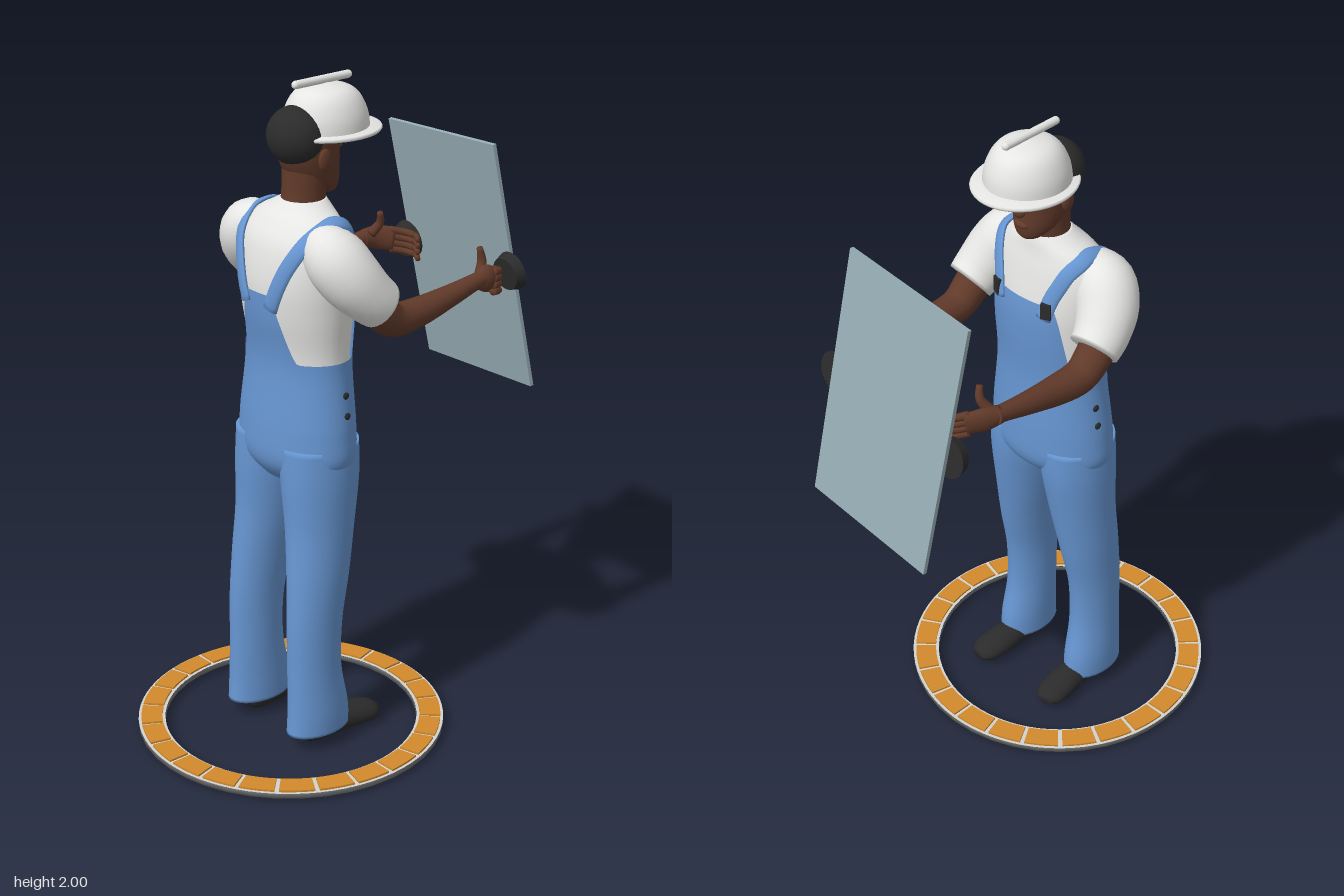
import * as THREE from 'three';

const mat = (name, color) => Object.assign(new THREE.MeshStandardMaterial({ color }), { name });
const V = (x, y, z) => new THREE.Vector3(x, y, z);

// Skin a closed tube through rings of points; ends are closed to their centres
function loft(rings, caps = true) {
  const n = rings[0].length;
  if (caps) {
    const collapse = r => {
      const c = r.reduce((a, p) => a.add(p), V(0, 0, 0)).divideScalar(n);
      return r.map(() => c);
    };
    rings = [collapse(rings[0]), ...rings, collapse(rings[rings.length - 1])];
  }
  const idx = [];
  for (let i = 0; i < rings.length - 1; i++) for (let j = 0; j < n; j++) {
    const a = i * n + j, b = i * n + (j + 1) % n;
    idx.push(a, a + n, b, b, a + n, b + n);
  }
  const g = new THREE.BufferGeometry().setFromPoints(rings.flat());
  g.setIndex(idx);
  g.computeVertexNormals();
  return g;
}

// Smoothly resample rows of numbers
function smooth(rows, steps = 5) {
  const out = [], at = i => rows[Math.max(0, Math.min(rows.length - 1, i))];
  for (let i = 0; i < rows.length - 1; i++) for (let s = 0; s < steps; s++) {
    const t = s / steps;
    out.push(at(i).map((b, k) => {
      const a = at(i - 1)[k], c = at(i + 1)[k], d = at(i + 2)[k];
      return b + 0.5 * t * (c - a + t * (2 * a - 5 * b + 4 * c - d + t * (3 * (b - c) + d - a)));
    }));
  }
  out.push(rows[rows.length - 1]);
  return out;
}

// Upright form from rows of [y, centre x, centre z, radius x, radius z]
const upright = (rows, n = 28) => loft(smooth(rows).map(([y, cx, cz, rx, rz]) =>
  Array.from({ length: n }, (_, j) => {
    const a = j / n * Math.PI * 2;
    return V(cx + rx * Math.cos(a), y, cz + rz * Math.sin(a));
  })));

// Limb along a path from rows of [x, y, z, radius, optional side radius]
function limb(rows, s = 1, n = 16) {
  const pts = smooth(rows.map(r => [r[0], r[1], r[2] * s, r[3], r[4] ?? r[3]]), 4);
  const pos = pts.map(p => V(p[0], p[1], p[2]));
  return loft(pts.map((p, i) => {
    const T = pos[Math.min(i + 1, pos.length - 1)].clone().sub(pos[Math.max(i - 1, 0)]).normalize();
    const u = V(0, 0, 1).cross(T).normalize(), v = u.clone().cross(T);
    return Array.from({ length: n }, (_, j) => {
      const a = j / n * Math.PI * 2;
      return pos[i].clone().addScaledVector(u, p[3] * Math.cos(a)).addScaledVector(v, p[4] * Math.sin(a));
    });
  }));
}

// Torso rows and a lookup of any point on its surface
const TORSO = [[0.84, -0.125, 0, 0.08, 0.11], [0.9, -0.122, 0, 0.125, 0.195], [1.0, -0.12, 0, 0.13, 0.2],
  [1.2, -0.115, 0, 0.12, 0.178], [1.35, -0.12, 0, 0.135, 0.19], [1.45, -0.122, 0, 0.137, 0.2],
  [1.55, -0.122, 0, 0.118, 0.2], [1.61, -0.112, 0, 0.093, 0.16], [1.645, -0.1, 0, 0.075, 0.1], [1.665, -0.095, 0, 0.064, 0.066]];
const DENSE = smooth(TORSO, 8);
function onTorso(a, y, off = 0) {
  let i = 0;
  while (i < DENSE.length - 2 && DENSE[i + 1][0] < y) i++;
  const A = DENSE[i], B = DENSE[i + 1], t = (y - A[0]) / (B[0] - A[0]);
  const r = A.map((v, k) => v + (B[k] - v) * t);
  return V(r[1] + (r[3] + off) * Math.cos(a), y, (r[4] + off) * Math.sin(a));
}

export function createModel() {
  const white = mat('white cloth and helmet', 0xe6e6e4), blue = mat('denim blue', 0x6796d2),
    skin = mat('skin', 0x613a2a), dark = mat('black', 0x2b2b2b), glass = mat('glass panel', 0x97adb5),
    orange = mat('orange', 0xd28a2c), grey = mat('ring underside', 0x7c7c7c), light = mat('ring edge', 0xd2d2ce);
  blue.side = THREE.DoubleSide;
  const model = new THREE.Group();
  const add = (name, geo, m, parent = model) => {
    const mesh = new THREE.Mesh(geo, m);
    mesh.name = name;
    parent.add(mesh);
    return mesh;
  };
  const ball = (name, m, [x, y, z], [rx, ry, rz]) =>
    add(name, new THREE.SphereGeometry(1, 24, 16).scale(rx, ry, rz).translate(x, y, z), m);

  // Shirt body, and overalls whose upper edge dips under the arms
  add('shirt', upright(TORSO.slice(2)), white);
  const rings = [], n = 96, step = THREE.MathUtils.smoothstep;
  for (let i = 0; i <= 32; i++) rings.push(Array.from({ length: n }, (_, j) => {
    const a = j / n * Math.PI * 2, d = a > Math.PI ? Math.PI * 2 - a : a;
    const top = 1.22 + 0.26 * (1 - step(d, 0.5, 1.05)) + 0.2 * step(d, 2.45, 2.95);
    return onTorso(a, 0.84 + (top - 0.84) * i / 32, 0.007);
  }));
  add('overalls', loft(rings, false), blue);

  for (const s of [1, -1]) {
    const side = s > 0 ? 'left' : 'right';
    // Strap laid over the shoulder
    const path = smooth([[0.42, 1.44], [0.55, 1.53], [0.85, 1.595], [1.57, 1.625], [2.25, 1.595], [2.6, 1.52], [2.88, 1.38]], 6);
    const mid = path.map(([a, y]) => onTorso(a * s, y, 0.008));
    add(side + 'Strap', loft(mid.map((p, i) => {
      const [a, y] = path[i];
      const T = mid[Math.min(i + 1, mid.length - 1)].clone().sub(mid[Math.max(i - 1, 0)]).normalize();
      const N = onTorso(a * s, y + 0.005).sub(onTorso(a * s, y - 0.005))
        .cross(onTorso(a * s + 0.01, y).sub(onTorso(a * s - 0.01, y))).normalize();
      const W = N.clone().cross(T).normalize();
      return Array.from({ length: 10 }, (_, j) => {
        const q = j / 10 * Math.PI * 2;
        return p.clone().addScaledVector(N, 0.009 * Math.cos(q)).addScaledVector(W, 0.024 * Math.sin(q));
      });
    })), blue);
    const b = onTorso(0.46 * s, 1.47, 0.014);
    add(side + 'Buckle', new THREE.BoxGeometry(0.014, 0.05, 0.03).rotateY(-0.4 * s).translate(b.x, b.y, b.z), dark);
    for (const y of [1.12, 1.06]) {
      const p = onTorso(1.45 * s, y, 0.007);
      ball(side + 'HipButton', dark, [p.x, p.y, p.z], [0.011, 0.011, 0.006]);
    }

    // Trouser leg and shoe
    add(side + 'Leg', upright([[0.05, -0.165, 0.14, 0.108, 0.068], [0.12, -0.165, 0.14, 0.103, 0.069],
      [0.25, -0.175, 0.137, 0.09, 0.066], [0.4, -0.172, 0.135, 0.092, 0.068], [0.55, -0.153, 0.128, 0.102, 0.078],
      [0.7, -0.135, 0.115, 0.11, 0.09], [0.85, -0.125, 0.105, 0.124, 0.101], [0.96, -0.122, 0.1, 0.125, 0.1]]
      .map(([y, x, z, rx, rz]) => [y, x, z * s, rx, rz])), blue);
    add(side + 'Shoe', limb([[-0.22, 0.045, 0.13, 0.012, 0.02], [-0.195, 0.045, 0.13, 0.042, 0.04],
      [-0.1, 0.045, 0.135, 0.044, 0.045], [-0.02, 0.04, 0.14, 0.038, 0.051],
      [0.035, 0.034, 0.146, 0.03, 0.046], [0.062, 0.03, 0.15, 0.014, 0.024]], s, 20), dark);

    // Sleeve and bare arm
    add(side + 'Sleeve', limb([[-0.14, 1.57, 0.11, 0.06], [-0.137, 1.54, 0.175, 0.088], [-0.11, 1.485, 0.215, 0.09],
      [-0.065, 1.43, 0.238, 0.08], [-0.025, 1.395, 0.245, 0.073]], s, 24), white);
    add(side + 'Arm', limb([[-0.07, 1.43, 0.24, 0.055], [-0.025, 1.375, 0.245, 0.054], [0.03, 1.335, 0.246, 0.05],
      [0.12, 1.335, 0.245, 0.044], [0.24, 1.357, 0.25, 0.033], [0.34, 1.378, 0.252, 0.025], [0.37, 1.383, 0.252, 0.026]], s), skin);
    ball(side + 'Ear', skin, [-0.085, 1.785, 0.083 * s], [0.022, 0.033, 0.011]);
    ball(side + 'Eye', dark, [0.009, 1.802, 0.034 * s], [0.006, 0.006, 0.014]);
    add(side + 'Eyebrow', new THREE.BoxGeometry(0.008, 0.007, 0.036).rotateY(0.35 * s).translate(0.012, 1.824, 0.036 * s), dark);
  }

  // Left hand: fist with raised thumb
  ball('leftPalm', skin, [0.382, 1.38, 0.252], [0.04, 0.04, 0.028]);
  add('leftThumb', limb([[0.37, 1.385, 0.238, 0.016], [0.385, 1.425, 0.232, 0.014], [0.377, 1.468, 0.23, 0.009]]), skin);
  // Right hand: open and reaching to the panel
  add('rightPalm', limb([[0.35, 1.38, -0.252, 0.026], [0.395, 1.378, -0.238, 0.038, 0.022], [0.44, 1.37, -0.208, 0.036, 0.018]]), skin);
  add('rightThumb', limb([[0.37, 1.395, -0.235, 0.016], [0.388, 1.43, -0.215, 0.013], [0.38, 1.468, -0.205, 0.009]]), skin);
  for (let k = 0; k < 4; k++) {
    const y = 1.4 - k * 0.02;
    add('leftFinger', limb([[0.395, y, 0.27, 0.012], [0.425, y - 0.004, 0.262, 0.012], [0.422, y - 0.005, 0.24, 0.011], [0.4, y - 0.005, 0.228, 0.009]], 1, 10), skin);
    add('rightFinger', limb([[0.43, y, -0.215, 0.012], [0.465, y - 0.008, -0.185, 0.011], [0.475, y - 0.012, -0.15, 0.01], [0.455, y - 0.014, -0.115, 0.008]], 1, 10), skin);
  }

  // Head
  add('neck', limb([[-0.1, 1.61, 0, 0.07], [-0.094, 1.67, 0, 0.063], [-0.088, 1.76, 0, 0.066]], 1, 24), skin);
  add('head', upright([[1.668, -0.018, 0, 0.022, 0.024], [1.682, -0.028, 0, 0.042, 0.045], [1.715, -0.055, 0, 0.074, 0.066],
    [1.77, -0.073, 0, 0.09, 0.078], [1.83, -0.078, 0, 0.095, 0.084], [1.88, -0.075, 0, 0.09, 0.082]]), skin);
  add('nose', limb([[0.008, 1.812, 0, 0.008], [0.018, 1.78, 0, 0.011], [0.02, 1.757, 0, 0.014, 0.019], [0.012, 1.745, 0, 0.008]], 1, 12), skin);
  ball('lips', skin, [0.014, 1.718, 0], [0.012, 0.012, 0.026]);
  ball('hair', dark, [-0.118, 1.845, 0], [0.083, 0.085, 0.089]);

  // Safety helmet
  const helmet = new THREE.Group();
  helmet.name = 'helmet';
  model.add(helmet);
  const lathe = pts => new THREE.LatheGeometry(pts.map(p => new THREE.Vector2(...p)), 40);
  const dome = new THREE.SplineCurve([[0.128, 1.85], [0.122, 1.895], [0.1, 1.942], [0.065, 1.968], [0.0001, 1.98]].map(p => new THREE.Vector2(...p)));
  add('helmetDome', new THREE.LatheGeometry(dome.getPoints(16), 40).scale(1, 1, 0.94).translate(-0.012, 0, 0), white, helmet);
  add('helmetBrim', lathe([[0.11, 1.844], [0.157, 1.842], [0.16, 1.848], [0.156, 1.853], [0.12, 1.858]])
    .scale(1, 1, 0.9).translate(-0.003, 0, 0), white, helmet);
  add('helmetInside', new THREE.CircleGeometry(0.125, 40).rotateX(Math.PI / 2).scale(1, 1, 0.92).translate(-0.008, 1.849, 0), white, helmet);
  add('helmetRidge', new THREE.CapsuleGeometry(0.012, 0.19, 4, 12).rotateZ(Math.PI / 2).translate(-0.025, 1.988, 0), white, helmet);

  // Tilted sheet with two suction lifters on its back
  const panel = new THREE.Group();
  panel.name = 'panel';
  const u = V(0.025, -0.025, -0.475).normalize(), v = V(-0.14, 0.77, -0.049).normalize();
  panel.applyMatrix4(new THREE.Matrix4().makeBasis(u, v, u.clone().cross(v)).setPosition(0.5375, 1.3575, -0.013));
  model.add(panel);
  add('sheet', new THREE.BoxGeometry(0.477, 0.784, 0.012), glass, panel);
  for (const s of [1, -1]) {
    add('suctionCup', new THREE.CylinderGeometry(0.05, 0.06, 0.03, 28).rotateX(-Math.PI / 2).translate(0.238 * s, -0.005, -0.021), dark, panel);
  }

  // Floor ring with orange tiles
  const ring = new THREE.Group();
  ring.name = 'floorRing';
  ring.position.x = -0.153;
  model.add(ring);
  const sector = (r0, r1, a0, a1, y, h) => {
    const sh = new THREE.Shape();
    sh.absarc(0, 0, r1, a0, a1, false);
    sh.absarc(0, 0, r0, a1, a0, true);
    return new THREE.ExtrudeGeometry(sh, { depth: h, bevelEnabled: false, curveSegments: 4 }).rotateX(-Math.PI / 2).translate(0, y, 0);
  };
  add('ringBase', lathe([[0.384, 0.028], [0.384, 0.012], [0.466, 0.012], [0.466, 0.028]]), grey, ring);
  add('ringTop', new THREE.RingGeometry(0.384, 0.466, 72).rotateX(-Math.PI / 2).translate(0, 0.028, 0), light, ring);
  for (let k = 0; k < 24; k++) {
    const a = k * Math.PI / 12;
    add('ringTile', sector(0.393, 0.457, a + 0.015, a + Math.PI / 12 - 0.015, 0.026, 0.008), orange, ring);
  }
  return model;
}
